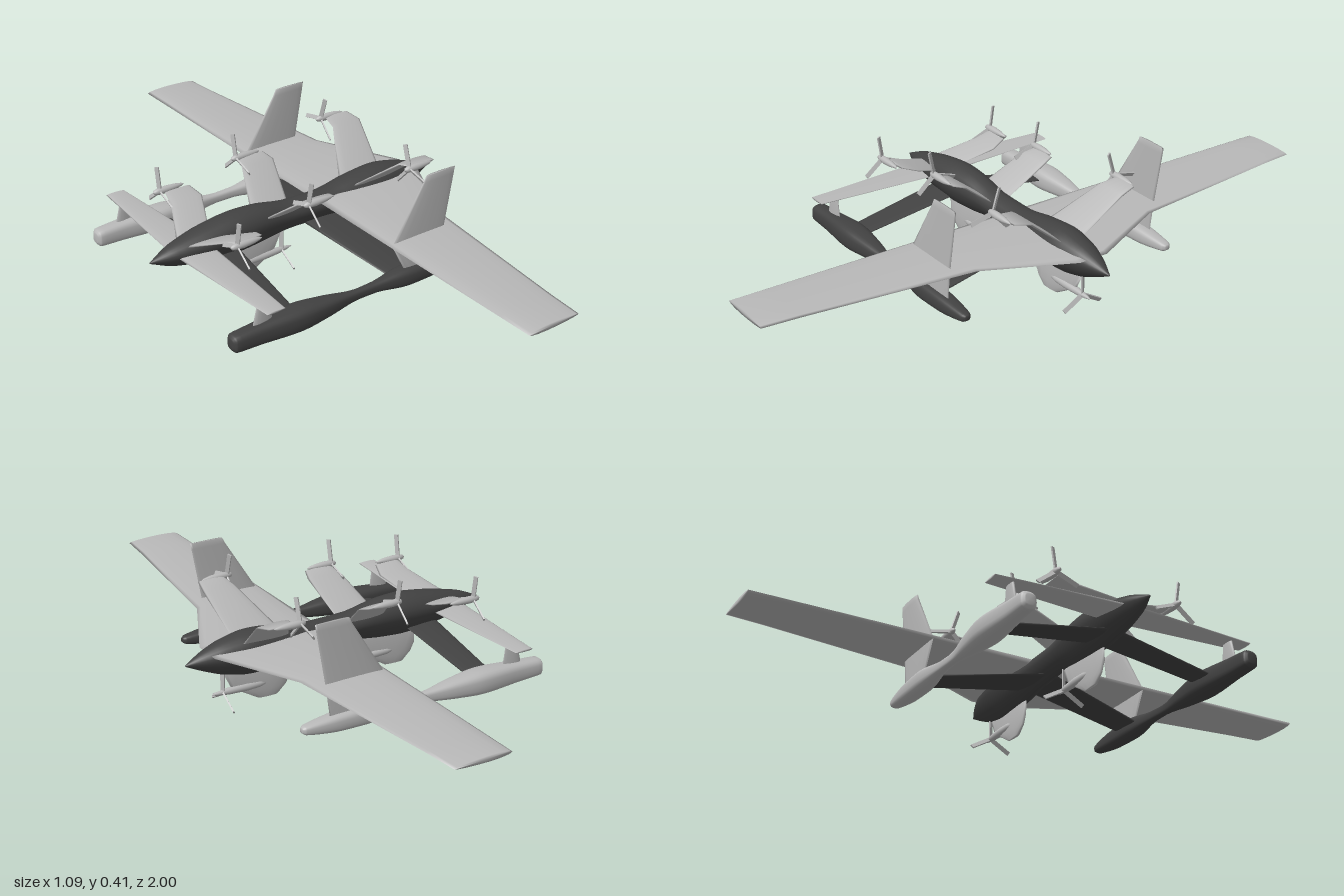
import * as THREE from 'three';

const mat = (name, color) => {
  const m = new THREE.MeshStandardMaterial({ color });
  m.name = name;
  return m;
};

// Skins a closed smooth body over equally sized rings of [x, y, z] points
function loft(rings) {
  const n = rings[0].length, pos = [], idx = [];
  rings.forEach(r => r.forEach(p => pos.push(...p)));
  for (let i = 0; i < rings.length - 1; i++)
    for (let j = 0; j < n; j++) {
      const a = i * n + j, b = i * n + (j + 1) % n;
      idx.push(a, b, a + n, b, b + n, a + n);
    }
  [0, rings.length - 1].forEach((ri, end) => {
    const c = pos.length / 3;
    pos.push(...[0, 1, 2].map(k => rings[ri].reduce((s, p) => s + p[k], 0) / n));
    for (let j = 0; j < n; j++) {
      const a = ri * n + j, b = ri * n + (j + 1) % n;
      end ? idx.push(c, a, b) : idx.push(c, b, a);
    }
  });
  // Turn the faces outward when the signed volume is negative
  const v = i => new THREE.Vector3().fromArray(pos, i * 3);
  let vol = 0;
  for (let i = 0; i < idx.length; i += 3) vol += v(idx[i]).dot(v(idx[i + 1]).cross(v(idx[i + 2])));
  if (vol < 0) idx.reverse();
  const g = new THREE.BufferGeometry();
  g.setAttribute('position', new THREE.Float32BufferAttribute(pos, 3));
  g.setIndex(idx);
  g.computeVertexNormals();
  return g;
}

// Thin aerofoil: stations are [x0, x1, y, z, halfThickness], normal is the thickness direction
function foil(stations, normal) {
  const N = 14;
  return loft(stations.map(([x0, x1, y, z, t]) => Array.from({ length: N }, (_, j) => {
    const a = j / N * Math.PI * 2, u = (1 - Math.cos(a)) / 2;
    const h = t * Math.sin(a) * (1.15 - 0.5 * u);
    return [x0 + (x1 - x0) * u, y + normal[1] * h, z + normal[2] * h];
  })));
}

const pw = (v, e) => Math.sign(v) * Math.abs(v) ** e;

// Streamlined body along x: stations are [x, halfWidth, yTop, yBottom]
function hull(stations, z, waist, topExp, lowExp) {
  const curve = new THREE.CatmullRomCurve3(stations.map(s => new THREE.Vector3(s[1], s[2], s[3])));
  const xs = new THREE.CatmullRomCurve3(stations.map(s => new THREE.Vector3(s[0], 0, 0)));
  const S = 40, N = 24, rings = [];
  for (let i = 0; i <= S; i++) {
    const p = curve.getPoint(i / S), x = xs.getPoint(i / S).x;
    const mid = p.z + (p.y - p.z) * waist;
    rings.push(Array.from({ length: N }, (_, j) => {
      const a = j / N * Math.PI * 2, c = Math.cos(a), s = Math.sin(a);
      const e = s > 0 ? topExp : lowExp;
      return [x, mid + pw(s, e) * (s > 0 ? p.y - mid : mid - p.z), z + p.x * pw(c, e)];
    }));
  }
  return loft(rings);
}

export function createModel() {
  const root = new THREE.Group();
  const light = mat('light grey', 0xb8b8b8), dark = mat('dark grey', 0x424242);
  const add = (name, geo, m, parent = root) => {
    const mesh = new THREE.Mesh(geo, m);
    mesh.name = name;
    parent.add(mesh);
    return mesh;
  };
  const UP = [0, 1, 0], SIDE = [0, 0, 1];

  // Fuselage with a keeled belly
  add('fuselage', hull([
    [-0.545, 0.002, 0.172, 0.168], [-0.47, 0.035, 0.204, 0.135], [-0.36, 0.058, 0.23, 0.112],
    [-0.24, 0.062, 0.246, 0.102], [-0.15, 0.056, 0.243, 0.108], [-0.03, 0.047, 0.221, 0.122],
    [0.1, 0.048, 0.218, 0.118], [0.22, 0.062, 0.235, 0.1], [0.32, 0.066, 0.243, 0.095],
    [0.42, 0.052, 0.228, 0.114], [0.49, 0.028, 0.203, 0.143], [0.545, 0.002, 0.174, 0.17],
  ], 0, 0.6, 1, 1.3), dark);

  // Main wing and forward wing
  const span = half => [...half.slice().reverse().map(([a, b, y, z, t]) => [a, b, y, -z, t]), ...half];
  add('mainWing', foil(span([
    [0.07, 0.47, 0.198, 0.05, 0.012], [0.07, 0.335, 0.198, 0.33, 0.011],
    [0.07, 0.272, 0.198, 0.88, 0.01], [0.07, 0.262, 0.198, 1, 0.01],
  ]), UP), light);
  add('forwardWing', foil(span([
    [-0.462, -0.335, 0.172, 0.02, 0.006], [-0.43, -0.365, 0.172, 0.45, 0.004],
  ]), UP), light);

  // Three-bladed propeller in the plane across x
  const propeller = (x, y, z, turn) => {
    const g = new THREE.Group();
    g.name = 'propeller';
    for (let i = 0; i < 3; i++) {
      const blade = new THREE.BoxGeometry(0.005, 0.076, 0.014);
      blade.translate(0, 0.042, 0);
      blade.rotateY(0.5);
      blade.rotateX(turn + i * Math.PI * 2 / 3);
      add('propellerBlade', blade, light, g);
    }
    g.position.set(x, y, z);
    root.add(g);
  };

  // Slim engine pod, pointed at both ends
  const nacelle = (x0, x1, y, z, r) => {
    const L = x1 - x0;
    const pts = [[0, 0], [0.6, 0.05], [0.9, 0.17], [1, 0.4], [0.8, 0.7], [0.4, 0.92], [0, 1]]
      .map(([a, b]) => new THREE.Vector2(a * r, b * L));
    const geo = new THREE.LatheGeometry(pts, 16);
    geo.rotateZ(-Math.PI / 2);
    geo.translate(x0, y, z);
    add('nacelle', geo, light);
  };

  // Gull pylons: root, elbow and tip as [x0, x1, y, z], then engine [x0, x1, propX, y, z]
  const engines = [
    { at: [[-0.43, -0.31, 0.2, 0.03], [-0.37, -0.255, 0.25, 0.15], [-0.36, -0.27, 0.268, 0.2]],
      pod: [-0.395, -0.28, -0.37, 0.27, 0.215], turn: 0.15 },
    { at: [[-0.15, -0.01, 0.2, 0.03], [-0.1, 0.022, 0.295, 0.15], [-0.085, 0.01, 0.308, 0.19]],
      pod: [-0.112, 0.0, -0.093, 0.312, 0.195], turn: 0.2 },
    { at: [[0.2, 0.365, 0.21, 0.03], [0.28, 0.392, 0.325, 0.17], [0.29, 0.38, 0.336, 0.225]],
      pod: [0.255, 0.365, 0.275, 0.336, 0.23], turn: -0.3 },
  ];

  for (const s of [1, -1]) {
    for (const { at, pod: [x0, x1, px, y, z], turn } of engines) {
      add('enginePylon', foil(at.map(([a, b, py, pz]) => [a, b, py, pz * s, 0.006]), [0, 0.8, -0.6 * s]), light);
      nacelle(x0, x1, y, z * s, 0.012);
      propeller(px, y, z * s, turn * s);
    }

    // Side float; one is painted dark, the other light
    add('sideFloat', hull([
      [-0.516, 0.014, 0.088, 0.056], [-0.505, 0.027, 0.1, 0.043], [-0.42, 0.031, 0.106, 0.04],
      [-0.28, 0.043, 0.114, 0.036], [-0.17, 0.032, 0.104, 0.044], [-0.05, 0.014, 0.088, 0.056],
      [0.02, 0.016, 0.09, 0.056], [0.14, 0.032, 0.104, 0.042], [0.25, 0.03, 0.1, 0.044],
      [0.355, 0.017, 0.086, 0.058], [0.366, 0.008, 0.08, 0.065],
    ], 0.385 * s, 0.5, 0.7, 0.7), s > 0 ? dark : light);

    // Tail fin standing on the float and passing through the wing
    add('tailFin', foil([
      [0.137, 0.27, 0.085, 0.39 * s, 0.006], [0.08, 0.285, 0.195, 0.39 * s, 0.007],
      [0.195, 0.317, 0.38, 0.39 * s, 0.006], [0.205, 0.32, 0.4, 0.39 * s, 0.005],
    ], SIDE), light);

    // Post between forward wing and float
    add('floatPost', foil([
      [-0.44, -0.365, 0.09, 0.385 * s, 0.007], [-0.42, -0.375, 0.172, 0.385 * s, 0.006],
    ], SIDE), light);

    // Dark struts from fuselage to float
    for (const [a, b, c, d] of [[-0.36, -0.24, -0.345, -0.26], [0.02, 0.18, 0.09, 0.2]])
      add('floatStrut', foil([
        [a, b, 0.135, 0.02 * s, 0.008], [c, d, 0.076, 0.37 * s, 0.006],
      ], UP), dark);
  }

  // Belly fins, each with a pusher engine
  for (const x of [-0.055, 0.42]) {
    add('bellyFin', foil([
      [x - 0.24, x + 0.0, 0.12, 0, 0.008], [x - 0.24, x - 0.03, 0.06, 0, 0.01],
      [x - 0.225, x - 0.08, 0.03, 0, 0.009], [x - 0.195, x - 0.125, 0.003, 0, 0.006],
    ], SIDE), light);
    nacelle(x - 0.16, x + 0.04, 0.053, 0, 0.014);
    propeller(x, 0.053, 0, 0);
  }
  return root;
}
